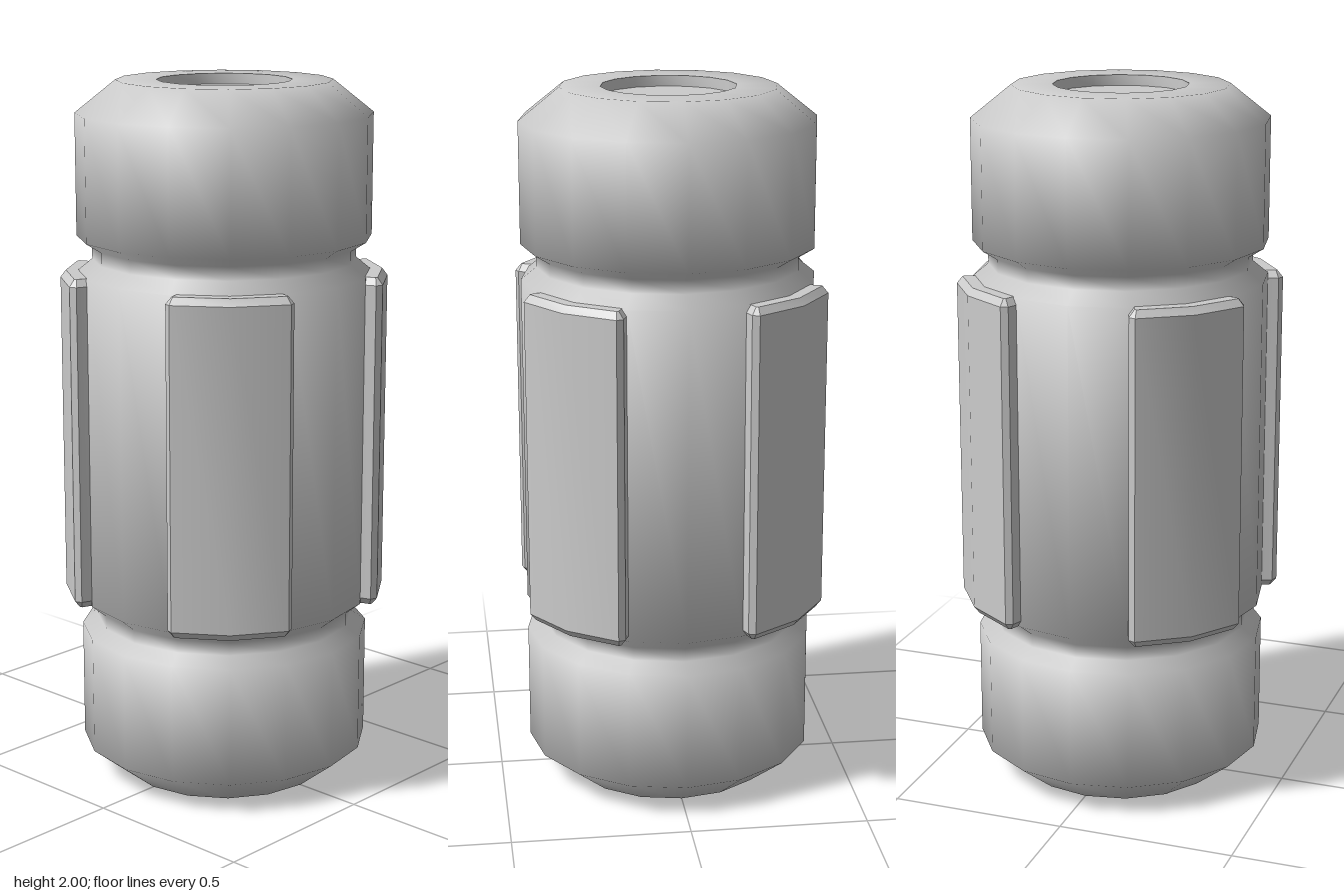
import * as THREE from 'three';
import { toCreasedNormals } from 'three/addons/utils/BufferGeometryUtils.js';

export function createModel() {
  const group = new THREE.Group();
  const material = new THREE.MeshStandardMaterial({ color: 0xcccccc });

  const add = (name, geometry, crease) => {
    const mesh = new THREE.Mesh(toCreasedNormals(geometry, crease), material);
    mesh.name = name;
    group.add(mesh);
    return mesh;
  };

  // Sixteen-sided body: recessed ends, bevelled caps and two grooves, mirrored about mid-height
  const lower = [
    [0, 0.03], [0.187, 0.03], [0.187, 0], [0.3, 0], [0.413, 0.09],
    [0.413, 0.43], [0.37, 0.457], [0.37, 0.495], [0.413, 0.53],
  ];
  const upper = lower.map(([r, y]) => [r, 2 - y]).reverse();
  const profile = [...lower, ...upper].map(([r, y]) => new THREE.Vector2(r, y));
  add('body', new THREE.LatheGeometry(profile, 16), 1.1);

  // Four raised grip pads on the diagonals, each bent along its middle
  const half = [[0.15, 0.36], [0.16, 0.383], [0.17, 0.41], [0.19, 0.417]];
  const outline = [...half, [0.325, 0.325], ...half.map(([a, b]) => [b, a]).reverse()];
  const shape = new THREE.Shape(outline.map(([x, z]) => new THREE.Vector2(x, z)));
  const bevel = 0.02;
  for (let i = 0; i < 4; i++) {
    const pad = new THREE.ExtrudeGeometry(shape, {
      depth: 0.945 - 2 * bevel,
      bevelThickness: bevel,
      bevelSize: 0.015,
      bevelOffset: -0.015,
      bevelSegments: 1,
    });
    pad.rotateX(-Math.PI / 2);
    pad.translate(0, 0.5275 + bevel, 0);
    add('gripPad', pad, 0.6).rotation.y = (i * Math.PI) / 2;
  }

  return group;
}
